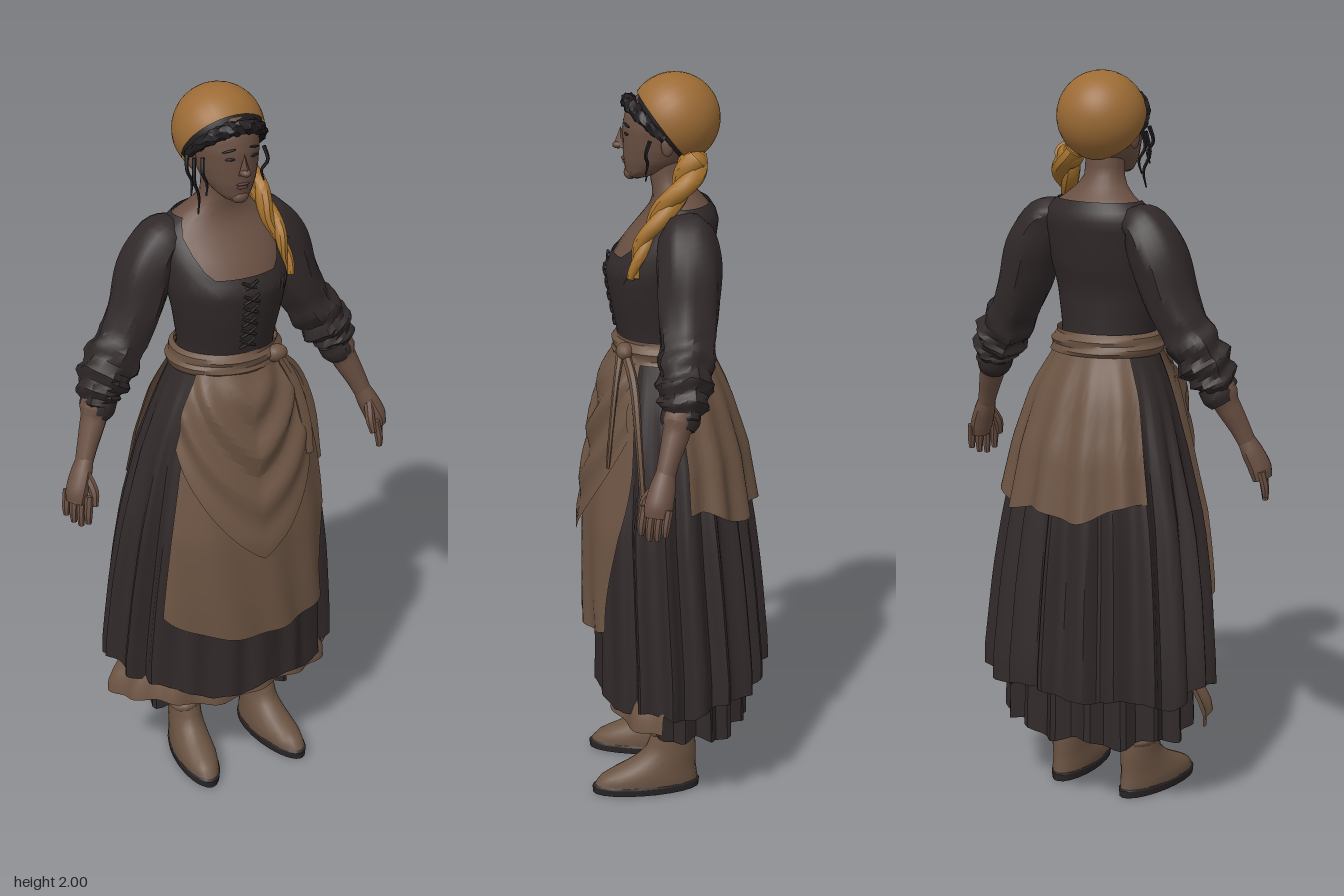
import * as THREE from 'three';
import { mergeVertices, toCreasedNormals } from 'three/addons/utils/BufferGeometryUtils.js';

const { sin, cos, abs, PI } = Math;
const V = (x, y, z) => new THREE.Vector3(x, y, z);
const mix = THREE.MathUtils.lerp, step = THREE.MathUtils.smoothstep;
const mat = (name, color) => {
  const m = new THREE.MeshStandardMaterial({ color, side: THREE.DoubleSide });
  m.name = name;
  return m;
};

// Cross-section tables, rows of [height, half width, centre z, half depth]
const BODY = [[1.24, .125, .02, .105], [1.32, .125, .03, .11], [1.42, .145, .04, .12], [1.49, .16, .035, .135],
  [1.56, .165, .01, .12], [1.62, .16, -.02, .098], [1.655, .13, -.025, .078], [1.685, .08, -.012, .06],
  [1.72, .056, .005, .05], [1.8, .052, .01, .05]];
const SKIRT = [[.18, .335, -.02, .235], [.4, .328, -.02, .23], [.6, .308, -.01, .222], [.8, .28, 0, .21],
  [1, .235, .003, .182], [1.15, .19, .015, .148], [1.25, .145, .02, .122], [1.32, .125, .025, .11]];
const HEAD = [[1.722, .006, .09, .006], [1.728, .028, .09, .028], [1.745, .048, .07, .05], [1.775, .068, .042, .084],
  [1.81, .08, .028, .099], [1.86, .088, .018, .11], [1.9, .087, .012, .108], [1.94, .07, 0, .09], [1.97, .045, 0, .055]];
const BOOT = [[.02, .054, .08, .148], [.045, .056, .075, .14], [.065, .052, .058, .12], [.09, .048, .03, .092],
  [.12, .045, .01, .072], [.17, .043, .002, .06], [.25, .048, -.002, .062], [.38, .05, 0, .064]];
const SOLE = [[0, .002, .08, .01], [.001, .054, .08, .15], [.022, .057, .08, .152], [.03, .05, .08, .14]];

// Point on a table's ellipse; a = 0 is the front, PI / 2 the model's left
function ring(table, a, y, out = 0) {
  let i = 0;
  while (i < table.length - 2 && y > table[i + 1][0]) i++;
  const p = table[i], q = table[i + 1], t = THREE.MathUtils.clamp((y - p[0]) / (q[0] - p[0]), 0, 1);
  const [rx, cz, rz] = [1, 2, 3].map(k => mix(p[k], q[k], t));
  return V((rx + out) * sin(a), y, cz + (rz + out) * cos(a));
}

// Grid surface from f(u, v), both 0..1
function surface(nu, nv, f, crease = .6) {
  const pos = [], idx = [];
  for (let j = 0; j <= nv; j++) for (let i = 0; i <= nu; i++) pos.push(...f(i / nu, j / nv).toArray());
  for (let j = 0; j < nv; j++) for (let i = 0; i < nu; i++) {
    const a = j * (nu + 1) + i, b = a + nu + 1;
    idx.push(a, a + 1, b + 1, a, b + 1, b);
  }
  const g = new THREE.BufferGeometry();
  g.setAttribute('position', new THREE.Float32BufferAttribute(pos, 3));
  g.setIndex(idx);
  return toCreasedNormals(mergeVertices(g, 1e-5), crease);
}

const stack = (table, nu, nv) => surface(nu, nv,
  (u, v) => ring(table, u * 2 * PI, mix(table[0][0], table[table.length - 1][0], v)), .9);

// Tapered limb along points [x, y, z, radius, depth radius]
function limb(points, nu = 10, nv = 12, mod = () => 1) {
  const path = new THREE.CatmullRomCurve3(points.map(p => V(p[0], p[1], p[2])));
  const size = new THREE.CatmullRomCurve3(points.map(p => V(p[3], p[4] ?? p[3], 0)));
  return surface(nu, nv + 2, (u, v) => {
    const k = THREE.MathUtils.clamp((v * (nv + 2) - 1) / nv, 0, 1), cap = v === 0 || v === 1 ? 0 : 1;
    const t = path.getTangent(k), e1 = V(0, 0, 1).addScaledVector(t, -t.z).normalize(), e2 = t.clone().cross(e1);
    const r = size.getPoint(k), a = u * 2 * PI, m = cap * mod(a, k);
    return path.getPoint(k).addScaledVector(e1, r.y * m * cos(a)).addScaledVector(e2, r.x * m * sin(a));
  }, .7);
}

// Rounded pleats, deeper towards the hem and pressed flat beneath the front apron
const pleat = (a, y) => {
  const front = 1 - step(Math.min(a, 2 * PI - a), .6, 1.1);
  return (.017 * sin(19 * a) + .005 * sin(31 * a + 1)) * step(1.3 - y, 0, .7) * (1 - .65 * front);
};

export function createModel() {
  const model = new THREE.Group();
  const dress = mat('dress cloth', 0x31292a), linen = mat('apron linen', 0x6c5443), skin = mat('skin', 0x694f42),
    scarf = mat('headscarf', 0x9c6b35), tailCloth = mat('scarf tail', 0xa4712c), hair = mat('dark hair', 0x211d20),
    leather = mat('boot leather', 0x6a5342), soleMat = mat('sole', 0x2a2425), lip = mat('lips', 0x59403a);
  const add = (name, geo, material, parent = model) => {
    const m = new THREE.Mesh(geo, material);
    m.name = name;
    parent.add(m);
    return m;
  };
  const ball = (name, material, p, s) => {
    const m = add(name, new THREE.SphereGeometry(1, 14, 10), material);
    m.position.set(...p);
    m.scale.set(...s);
    return m;
  };

  // Torso and laced bodice with a scooped neckline
  add('torso', stack(BODY, 28, 22), skin);
  add('bodice', surface(48, 16, (u, v) => {
    const a = (u - .5) * 2 * PI;
    const top = mix(1.53, 1.664, step(abs(a), .5, 1.15));
    return ring(BODY, a, mix(1.26, top, v), .008);
  }), dress);
  for (let i = 0; i < 6; i++) {
    const y = 1.34 + i * .034, z = ring(BODY, 0, y).z + .008;
    for (const s of [1, -1])
      add('lacing', limb([[-.022 * s, y - .01, z, .004], [0, y, z + .002, .005], [.022 * s, y + .012, z, .004]], 6, 5), dress);
  }

  // Pleated skirt with a hem lifted at the right, petticoat and underskirt
  add('skirt', surface(190, 16, (u, v) => {
    const a = u * 2 * PI, lift = .04 * step(cos(a - 5), .75, 1);
    const hem = .312 - .026 * cos(a) + lift + .01 * sin(7 * a) + .006 * sin(19 * a);
    const y = mix(hem, 1.3, v);
    return ring(SKIRT, a, y, pleat(a, y));
  }), dress);
  add('petticoat', surface(90, 6, (u, v) => {
    const a = mix(-1.6, 1.3, u), y = mix(.257 + .01 * sin(5 * a), .44, v), flare = step(.37 - y, 0, .1);
    return ring(SKIRT, a, y, -.036 + flare * (.014 + .026 * sin(a) ** 2) + .008 * sin(15 * a));
  }), linen);
  add('underskirt', surface(100, 6, (u, v) => {
    const a = u * 2 * PI, y = mix(.215 + .022 * cos(a) + .012 * sin(8 * a), .5, v);
    return ring(SKIRT, a, y, -.055 + .014 * sin(17 * a));
  }), dress);

  // Front apron with a draped swag over it, and a shorter back apron
  add('frontApron', surface(44, 22, (u, v) => {
    const s = 2 * u - 1, low = .485 + (s < 0 ? .085 : .035) * s * s, y = mix(low, 1.29, v);
    const a = s * (s < 0 ? .84 : mix(.66, 1.02, step(y, .55, 1)));
    return ring(SKIRT, a, y, .026 * step(1.32 - y, 0, .15) + .012 * (1 - v) + .006 * sin(11 * s + 9 * y) * (1 - v));
  }), linen);
  add('apronSwag', surface(36, 26, (u, v) => {
    const s = 2 * u - 1, low = .74 + .32 * abs(s) ** 1.2, y = mix(low, 1.285, v), a = s * .93;
    const fold = sin(44 * (y - .25 * abs(s) ** 1.2) + s) * .011 * sin(PI * v);
    return ring(SKIRT, a, y, .034 * step(1.32 - y, 0, .14) + .018 * (1 - v) * (1 - s * s) + fold);
  }, .4), linen);
  add('backApron', surface(60, 14, (u, v) => {
    const a = mix(1.72, 4.08, u), edge = (2 * u - 1) ** 2;
    const y = mix(.83 + .05 * edge + .014 * sin(16 * u), 1.29, v);
    return ring(SKIRT, a, y, .024 * step(1.32 - y, 0, .2) + .012 * (1 - v) * sin(15 * a + 1));
  }), linen);

  // Waistband, knot and hanging ties
  add('waistband', surface(40, 6, (u, v) => {
    const a = u * 2 * PI;
    return ring(SKIRT, a, mix(1.25, 1.31, v), .013 + .007 * sin(PI * v) + .004 * sin(12 * v + 2 * sin(a)));
  }), linen);
  ball('waistKnot', linen, [.1, 1.278, .13], [.032, .024, .024]);
  add('tieLong', limb([[.1, 1.28, .14, .012], [.14, 1.2, .155, .014, .008], [.17, 1.08, .17, .016, .007], [.18, .98, .18, .012, .005]], 6), linen);
  add('tieShort', limb([[.1, 1.28, .13, .012], [.165, 1.21, .11, .016, .012], [.22, 1.08, .1, .018, .01], [.255, .9, .09, .014, .008]], 6), linen);

  // Head and face
  add('head', stack(HEAD, 28, 28), skin);
  const nose = add('nose', new THREE.ConeGeometry(.017, .055, 4), skin);
  nose.position.set(0, 1.833, .132);
  nose.scale.z = 1.25;
  ball('noseTip', skin, [0, 1.812, .138], [.014, .01, .016]);
  ball('upperLip', lip, [0, 1.777, .125], [.02, .004, .006]);
  ball('lowerLip', lip, [0, 1.768, .122], [.016, .005, .006]);
  ball('chin', skin, [0, 1.738, .107], [.024, .018, .018]);
  for (const s of [1, -1]) {
    ball('eye', hair, [s * .034, 1.847, .119], [.013, .004, .004]).rotation.y = s * .3;
    const brow = ball('brow', hair, [s * .036, 1.87, .118], [.019, .003, .004]);
    brow.rotation.set(0, s * .35, -s * .2);
    ball('ear', skin, [s * .089, 1.825, .015], [.01, .028, .017]);
  }

  // Hair, rolled front hair and headscarf tied low at the nape
  const cap = (name, r, theta, material) => {
    const m = add(name, new THREE.SphereGeometry(r, 28, 16, 0, 2 * PI, 0, theta), material);
    m.position.set(0, 1.881, -.009);
    m.rotation.x = -.92;
    return m;
  };
  cap('hairCap', .114, 2, hair);
  cap('headscarf', .12, 1.87, scarf);
  const roll = [];
  for (let i = 0; i <= 8; i++) {
    const b = mix(-1.5, 1.5, i / 8), r = .011 + .008 * cos(b);
    roll.push([.1 * sin(b), 1.838 + .088 * cos(b), .016 + .096 * cos(b), r, r]);
  }
  add('hairRoll', limb(roll, 10, 36, (a, k) => 1 + .2 * sin(3 * a + 50 * k)), hair);
  for (const [x, y, z, l] of [[-.1, 1.84, .05, .15], [-.092, 1.85, .08, .1], [.095, 1.84, .06, .09], [-.105, 1.85, .02, .12]])
    add('looseStrand', limb([[x, y, z, .006], [x * 1.06, y - l * .4, z + .012, .005], [x * .9, y - l * .7, z + .006, .004],
      [x * .95, y - l, z + .012, .002]], 5, 10), hair);

  // Scarf tail: two cloth strands twisted over the left shoulder
  const knot = ball('scarfKnot', tailCloth, [.072, 1.775, -.05], [.035, .035, .04]);
  knot.rotation.z = .4;
  const spine = new THREE.CatmullRomCurve3([V(.07, 1.79, -.06), V(.1, 1.73, -.03), V(.12, 1.65, .035), V(.137, 1.57, .085), V(.15, 1.49, .11)]);
  for (const s of [0, PI]) {
    const pts = [];
    for (let i = 0; i <= 14; i++) {
      const k = i / 14, p = spine.getPoint(k), w = .016 * (1 - .6 * k), r = mix(.026, .009, k ** 1.5);
      pts.push([p.x + w * cos(s + 11 * k), p.y, p.z + w * sin(s + 11 * k), r, r * 1.15]);
    }
    add('scarfTail', limb(pts, 9, 28), tailCloth);
  }

  for (const s of [1, -1]) {
    const side = s > 0 ? 'left' : 'right';
    const arm = (name, pts, material, ...rest) =>
      add(side + name, limb(pts.map(([x, ...r]) => [s * x, ...r]), ...rest), material);

    // Gathered sleeve and bunched cuff
    arm('Sleeve', [[.1, 1.62, -.03, .036, .05], [.152, 1.6, -.033, .06, .072], [.2, 1.52, -.035, .073, .083], [.235, 1.42, -.03, .069, .08],
      [.275, 1.34, -.025, .067, .072], [.325, 1.265, -.015, .071, .07], [.355, 1.215, -.008, .058, .062], [.37, 1.175, 0, .036, .045]],
    dress, 22, 34, (a, k) => 1 + .05 * sin(6 * a + 9 * k) + step(k, .5, .7) * (.12 * sin(52 * k + 1.5 * sin(a * 2)) + .03 * sin(9 * a)));
    arm('CuffBand', [[.352, 1.198, -.005, .045, .05], [.366, 1.172, 0, .047, .052], [.378, 1.15, .004, .036, .04]], dress, 14, 6);

    // Forearm, palm angled to the front, fingers and thumb
    arm('Forearm', [[.345, 1.23, -.008, .036], [.38, 1.15, .01, .036], [.412, 1.08, .032, .028], [.428, 1.04, .043, .024, .026]], skin);
    arm('Palm', [[.422, 1.055, .04, .023, .025], [.44, 1.015, .05, .029, .034], [.457, .975, .06, .03, .037], [.464, .945, .064, .024, .034]], skin);
    for (let i = 0; i < 4; i++) {
      const x = .483 - i * .012, z = .036 + i * .02, l = [.05, .064, .068, .056][i];
      arm('Finger', [[x - .008, .97, z, .012], [x, .95 - l * .5, z + .008, .0115], [x + .001, .95 - l, z + .01, .008]], skin, 7, 6);
    }
    arm('Thumb', [[.432, 1.02, .066, .013], [.424, .98, .092, .0135], [.428, .94, .105, .009]], skin, 7, 6);

    // Boot with sole, turned slightly outward
    const boot = new THREE.Group();
    boot.name = side + 'Boot';
    add('bootUpper', stack(BOOT, 22, 24), leather, boot);
    add('sole', stack(SOLE, 22, 22), soleMat, boot);
    for (const y of [.16, .2, .24])
      add('bootCrease', surface(18, 4, (u, v) => ring(BOOT, u * 2 * PI, y + .02 * v + .012 * sin(u * 2 * PI + y * 40), .005 * sin(PI * v))), leather, boot);
    boot.position.set(s * .118, 0, 0);
    boot.rotation.y = s * .12;
    model.add(boot);
  }
  return model;
}
